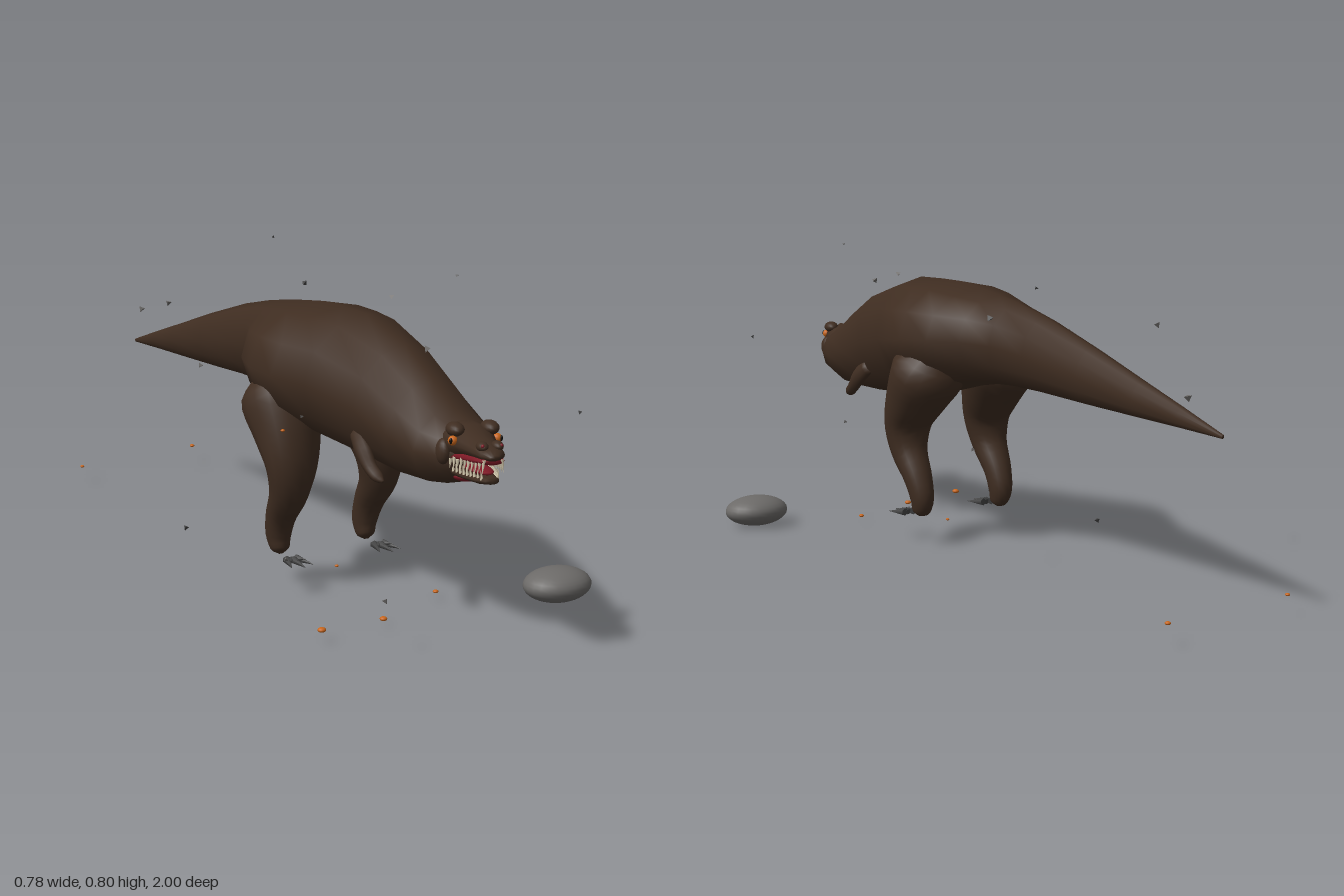
import * as THREE from 'three';

const mat = (name, color, side = THREE.FrontSide) => {
  const m = new THREE.MeshStandardMaterial({ color, side });
  m.name = name;
  return m;
};

// Closed skin through sections [x, y, z, halfWidth, halfDepth] whose path runs in the yz plane
function loft(sections, sides = 12, steps = 0) {
  let secs = sections;
  if (steps) {
    const path = new THREE.CatmullRomCurve3(sections.map(s => new THREE.Vector3(s[0], s[1], s[2])));
    const size = new THREE.CatmullRomCurve3(sections.map(s => new THREE.Vector3(s[3], s[4], 0)));
    secs = [];
    for (let i = 0; i <= steps; i++) {
      const p = path.getPoint(i / steps), r = size.getPoint(i / steps);
      secs.push([p.x, p.y, p.z, Math.max(r.x, 0), Math.max(r.y, 0)]);
    }
  }
  const pos = [], idx = [], n = secs.length;
  secs.forEach((s, i) => {
    const a = secs[Math.max(i - 1, 0)], b = secs[Math.min(i + 1, n - 1)];
    const t = new THREE.Vector2(b[1] - a[1], b[2] - a[2]).normalize();
    for (let j = 0; j < sides; j++) {
      const q = j / sides * Math.PI * 2, c = Math.cos(q) * s[3], d = Math.sin(q) * s[4];
      pos.push(s[0] + c, s[1] + d * t.y, s[2] - d * t.x);
      if (i < n - 1) {
        const k = (j + 1) % sides, o = i * sides;
        idx.push(o + j, o + k, o + sides + k, o + j, o + sides + k, o + sides + j);
      }
    }
  });
  // end caps
  [[secs[0], 0, true], [secs[n - 1], (n - 1) * sides, false]].forEach(([s, o, flip]) => {
    const c = pos.length / 3;
    pos.push(s[0], s[1], s[2]);
    for (let j = 0; j < sides; j++) {
      const k = (j + 1) % sides;
      idx.push(c, o + (flip ? k : j), o + (flip ? j : k));
    }
  });
  const g = new THREE.BufferGeometry();
  g.setAttribute('position', new THREE.Float32BufferAttribute(pos, 3));
  g.setIndex(idx);
  g.computeVertexNormals();
  return g;
}

// Level sections [z, top, bottom, halfWidth] turned into loft sections
const level = rows => rows.map(([z, t, b, w]) => [0, (t + b) / 2, z, w, (t - b) / 2]);

export function createModel() {
  const root = new THREE.Group();
  const skin = mat('brown skin', 0x3f2d21);
  const stone = mat('grey stone', 0x6c6a68);
  const claw = mat('dark claw', 0x454545);
  const gum = mat('red gum', 0x7d1a26);
  const ivory = mat('ivory tooth', 0xd9ceb2);
  const amber = mat('amber', 0xc8661c);
  const black = mat('black pupil', 0x0c0a08);

  const add = (parent, name, geo, material, p = [0, 0, 0], s = [1, 1, 1], r = [0, 0, 0]) => {
    const m = new THREE.Mesh(geo, material);
    m.name = name;
    m.position.set(...p); m.scale.set(...s); m.rotation.set(...r);
    parent.add(m);
    return m;
  };
  const ball = new THREE.SphereGeometry(1, 16, 12);

  const animal = new THREE.Group();
  animal.name = 'animal';
  animal.position.x = -0.085;
  root.add(animal);

  // Body, from tail tip to neck
  add(animal, 'body', loft(level([
    [-0.895, 0.435, 0.425, 0.004], [-0.75, 0.48, 0.43, 0.017], [-0.6, 0.525, 0.434, 0.03],
    [-0.4, 0.586, 0.44, 0.047], [-0.2, 0.642, 0.448, 0.067], [-0.08, 0.668, 0.45, 0.085],
    [0, 0.682, 0.447, 0.125], [0.08, 0.694, 0.435, 0.175], [0.17, 0.706, 0.415, 0.205],
    [0.26, 0.707, 0.395, 0.195], [0.36, 0.706, 0.38, 0.16], [0.52, 0.662, 0.365, 0.125],
    [0.64, 0.6, 0.358, 0.113], [0.74, 0.548, 0.368, 0.102], [0.8, 0.53, 0.39, 0.085],
    [0.84, 0.515, 0.415, 0.06],
  ])), skin);

  // Legs, toes and arms
  const legGeo = loft([
    [0.1, 0.54, 0.13, 0.05, 0.05], [0.112, 0.475, 0.165, 0.1, 0.1], [0.12, 0.395, 0.215, 0.086, 0.078],
    [0.127, 0.32, 0.247, 0.068, 0.053], [0.13, 0.25, 0.238, 0.051, 0.046], [0.129, 0.18, 0.195, 0.039, 0.038],
    [0.127, 0.125, 0.178, 0.031, 0.036], [0.126, 0.09, 0.186, 0.023, 0.026], [0.126, 0.078, 0.19, 0.005, 0.005],
  ], 16, 28);
  const armGeo = loft([
    [0.1, 0.45, 0.5, 0.015, 0.02], [0.108, 0.42, 0.54, 0.018, 0.024], [0.108, 0.385, 0.575, 0.016, 0.017],
    [0.105, 0.368, 0.6, 0.015, 0.014], [0.103, 0.36, 0.62, 0.004, 0.004],
  ], 10, 14);
  const clawGeo = new THREE.ConeGeometry(0.011, 0.06, 6).rotateX(Math.PI / 2);
  const mirrored = (name, geo, s) => {
    const g = geo.clone();
    if (s < 0) {
      g.scale(-1, 1, 1);
      const a = g.index.array;
      for (let i = 0; i < a.length; i += 3) [a[i], a[i + 1]] = [a[i + 1], a[i]];
      g.computeVertexNormals();
    }
    add(animal, name, g, skin);
  };
  for (const s of [1, -1]) {
    const side = s > 0 ? 'left' : 'right';
    mirrored(side + 'Leg', legGeo, s);
    mirrored(side + 'Arm', armGeo, s);
    for (const t of [-1, 0, 1]) {
      add(animal, side + 'ToeClaw', clawGeo, claw, [s * 0.128 + t * 0.022, 0.077, 0.285 - Math.abs(t) * 0.012],
        [1, 0.9, 1], [0.08, t * 0.3, 0]);
      add(animal, side + 'ToeSpur', clawGeo, claw, [s * 0.128 + t * 0.013, 0.082, 0.265], [0.7, 0.7, 0.6], [-0.2, t * 0.5, 0]);
    }
  }

  // Head, turned to its right
  const head = new THREE.Group();
  head.name = 'head';
  head.position.set(0, 0.48, 0.79);
  head.rotation.y = -0.29;
  animal.add(head);
  add(head, 'upperJaw', loft(level([
    [-0.02, 0.035, -0.05, 0.05], [0.02, 0.052, -0.045, 0.064], [0.06, 0.052, -0.025, 0.058],
    [0.1, 0.04, -0.016, 0.043], [0.16, 0.034, -0.006, 0.034], [0.195, 0.028, 0, 0.028], [0.212, 0.018, 0.006, 0.012],
  ]), 14), skin);
  add(head, 'upperGum', loft(level([
    [0.05, -0.008, -0.034, 0.05], [0.1, 0.002, -0.024, 0.043], [0.16, 0.009, -0.014, 0.036], [0.2, 0.012, -0.006, 0.025],
  ]), 14), gum);
  add(head, 'lowerJaw', loft(level([
    [0, -0.02, -0.075, 0.045], [0.05, -0.038, -0.072, 0.045], [0.1, -0.042, -0.066, 0.036],
    [0.16, -0.037, -0.058, 0.028], [0.195, -0.034, -0.05, 0.016],
  ]), 14), skin);
  add(head, 'tongue', ball, gum, [0, -0.037, 0.1], [0.025, 0.009, 0.08], [-0.08, 0, 0]);
  add(head, 'throat', ball, gum, [0, -0.07, 0.03], [0.036, 0.014, 0.03]);

  // Teeth along both jaws
  const tooth = new THREE.ConeGeometry(0.0045, 0.026, 6);
  for (const s of [1, -1]) {
    for (let i = 0; i < 10; i++) {
      const f = i / 9, z = 0.06 + 0.138 * f;
      add(head, 'upperTooth', tooth, ivory, [s * (0.05 - 0.028 * f), -0.034 + 0.024 * f, z],
        [1, 0.85 + 0.35 * (i % 2), 1], [Math.PI, 0, -s * 0.12]);
      if (i < 9) add(head, 'lowerTooth', tooth, ivory, [s * (0.042 - 0.026 * f), -0.041 + 0.01 * f, z - 0.004],
        [0.9, 0.9, 0.9], [0, 0, -s * 0.15]);
    }
    // Brow, eye, cheek and nostril bumps
    add(head, 'brow', ball, skin, [s * 0.04, 0.043, 0.06], [0.02, 0.016, 0.03]);
    add(head, 'cheek', ball, skin, [s * 0.058, -0.012, 0.035], [0.018, 0.03, 0.024]);
    add(head, 'eye', ball, amber, [s * 0.051, 0.022, 0.078], [0.011, 0.011, 0.011]);
    add(head, 'pupil', ball, black, [s * 0.058, 0.023, 0.086], [0.0035, 0.007, 0.0035]);
    add(head, 'noseBump', ball, skin, [s * 0.017, 0.03, 0.175], [0.013, 0.011, 0.02]);
    add(head, 'nostril', ball, gum, [s * 0.021, 0.034, 0.19], [0.004, 0.004, 0.004]);
  }

  // Boulder
  add(root, 'boulder', new THREE.SphereGeometry(1, 24, 16), stone, [0.3, 0.043, 0.65], [0.09, 0.042, 0.072]);

  // Floating stone chips [x, y, z, size]
  const chip = new THREE.TetrahedronGeometry(1).toNonIndexed();
  chip.computeVertexNormals();
  [[0.1, 0.795, 0.49, 0.005], [0.04, 0.722, 0.3, 0.008], [-0.11, 0.672, 0.68, 0.01], [0.157, 0.661, -0.32, 0.01],
    [-0.315, 0.623, -0.37, 0.01], [-0.385, 0.56, 0.1, 0.008], [0.218, 0.515, 0.82, 0.006], [0.03, 0.53, -0.91, 0.011],
    [-0.275, 0.133, 0.77, 0.008], [-0.315, 0.08, -0.13, 0.009], [0.128, 0.322, -0.2, 0.006], [-0.26, 0.1, 0.3, 0.007],
    [0.205, 0.755, -0.58, 0.005], [0.1, 0.3, 0.49, 0.006], [-0.35, 0.515, 0.53, 0.005],
  ].forEach(([x, y, z, r], i) => add(root, 'stoneChip', chip, i % 3 ? stone : claw, [x, y, z], [r, r, r], [i, i * 1.7, i * 0.6]));

  // Embers near the ground
  [[-0.35, 0.033, 0.62, 0.01], [-0.25, 0.055, -0.94, 0.006], [-0.17, 0.022, 0.6, 0.009], [-0.085, 0.042, 0.25, 0.005],
    [0.045, 0.024, 0.5, 0.007], [0.145, 0.057, -0.993, 0.007], [-0.325, 0.452, 0.4, 0.005],
  ].forEach(([x, y, z, r]) => add(root, 'ember', ball, amber, [x, y, z], [r, r * 0.6, r]));

  return root;
}
